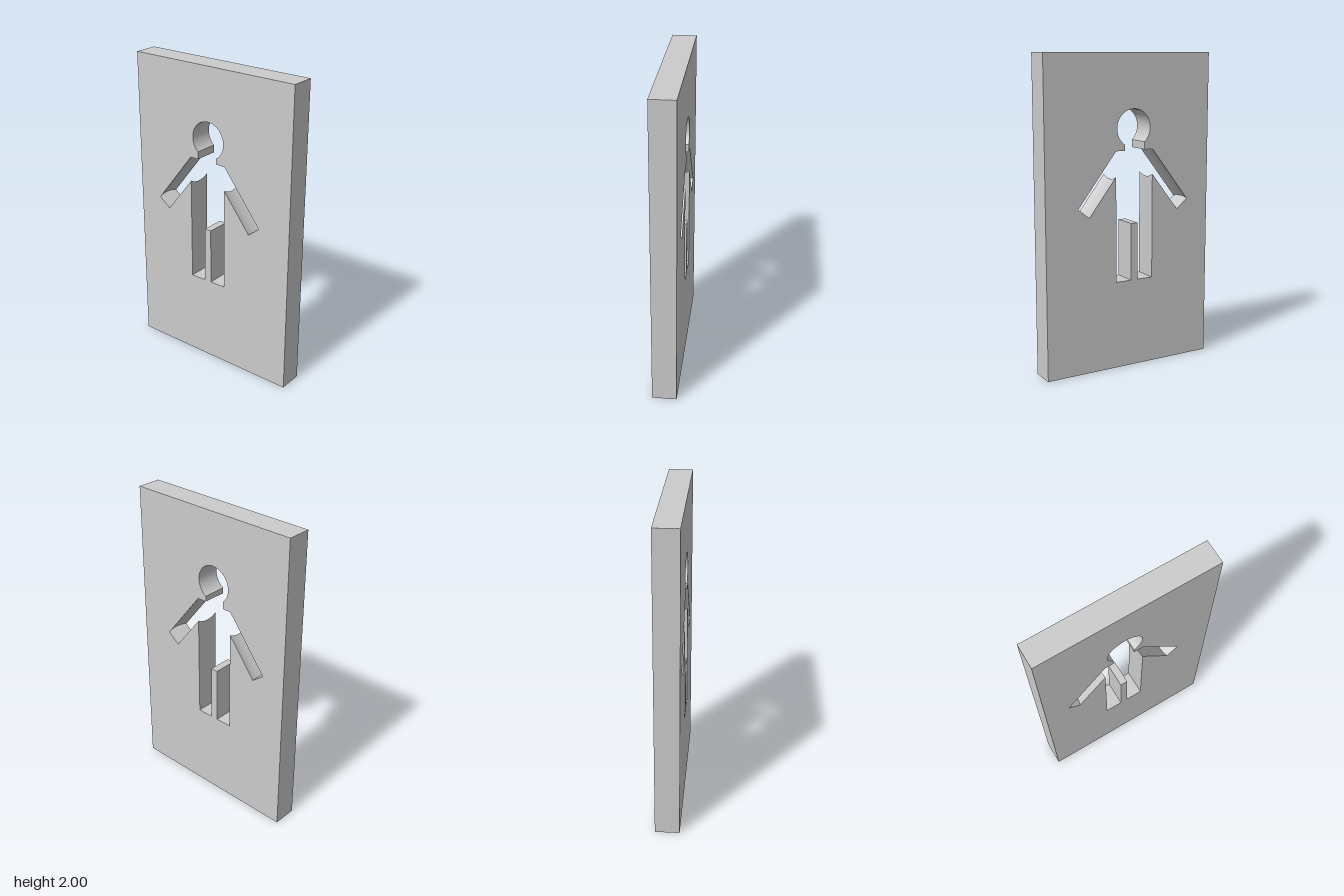
import * as THREE from 'three';
import { toCreasedNormals } from 'three/addons/utils/BufferGeometryUtils.js';

const W = 0.587, H = 2, HALF_DEPTH = 0.078; // panel
const CX = -0.031;                          // centre line of the cut-out figure
const HEAD = { x: -0.026, y: 1.538, r: 0.119 };
const NECK = { x: -0.034, half: 0.071 };

// The arms are cut with an oval section: they widen towards mid depth.
const armBulge = z => Math.max(0, 0.0625 * Math.sqrt(1 - (z / 0.125) ** 2) - 0.0488);

// One side of the figure from neck to crotch: [x, y, bulge x, bulge y]
const N = [0.786, 0.618]; // normal of the arm's upper edge
const sidePoints = [
  [0.132, 1.4, 0, 0],                                       // shoulder
  [0.132 + N[0] * 5e-4, 1.4 + N[1] * 5e-4, N[0], N[1]],     // upper end of the arm
  [0.398, 1.06, N[0], N[1]],                                // hand, upper corner
  [0.321, 1.0, -N[0], -N[1]],                               // hand, lower corner
  [0.132, 1.242, 0, -1 / N[1]],                             // armpit
  [0.132, 0.567, 0, 0],                                     // foot, outer corner
  [0.024, 0.567, 0, 0],                                     // foot, inner corner
  [0.024, 0.937, 0, 0],                                     // crotch
];
const side = s => sidePoints.map(([x, y, bx, by]) => [CX + s * x, y, s * bx, by]);

function figureOutline() {
  const points = [];
  // head, from the right end of the neck over the top to the left end
  const neckAngle = x => {
    const dx = x - HEAD.x;
    return Math.atan2(-Math.sqrt(HEAD.r ** 2 - dx ** 2), dx);
  };
  const a0 = neckAngle(NECK.x + NECK.half);
  const a1 = neckAngle(NECK.x - NECK.half) + 2 * Math.PI;
  const n = 56;
  for (let i = 0; i <= n; i++) {
    const a = a0 + (a1 - a0) * i / n;
    points.push([HEAD.x + HEAD.r * Math.cos(a), HEAD.y + HEAD.r * Math.sin(a), 0, 0]);
  }
  points.push([NECK.x - NECK.half, 1.4, 0, 0]);
  points.push(...side(-1), ...side(1).reverse());
  points.push([NECK.x + NECK.half, 1.4, 0, 0]);
  return points;
}

export function createModel() {
  const group = new THREE.Group();
  group.name = 'cutOutPanel';

  // panel with the figure as a through hole
  const outline = figureOutline();
  const shape = new THREE.Shape([[-W, 0], [W, 0], [W, H], [-W, H]].map(p => new THREE.Vector2(...p)));
  shape.holes.push(new THREE.Path(outline.map(([x, y]) => new THREE.Vector2(x, y))));
  const geometry = new THREE.ExtrudeGeometry(shape, {
    depth: 2 * HALF_DEPTH, steps: 16, bevelEnabled: false,
  });
  geometry.translate(0, 0, -HALF_DEPTH);

  // push the arm walls outwards inside the panel
  const key = (x, y) => `${x.toFixed(4)},${y.toFixed(4)}`;
  const bulges = new Map(outline.filter(p => p[2] || p[3])
    .map(([x, y, bx, by]) => [key(Math.fround(x), Math.fround(y)), [bx, by]]));
  const pos = geometry.attributes.position;
  for (let i = 0; i < pos.count; i++) {
    const x = pos.getX(i), y = pos.getY(i);
    const b = bulges.get(key(x, y));
    if (!b) continue;
    const d = armBulge(pos.getZ(i));
    pos.setXY(i, x + b[0] * d, y + b[1] * d);
  }

  const panel = new THREE.Mesh(
    toCreasedNormals(geometry, 0.4),
    new THREE.MeshStandardMaterial({ color: 0xcccccc }),
  );
  panel.name = 'panel';
  group.add(panel);
  return group;
}
